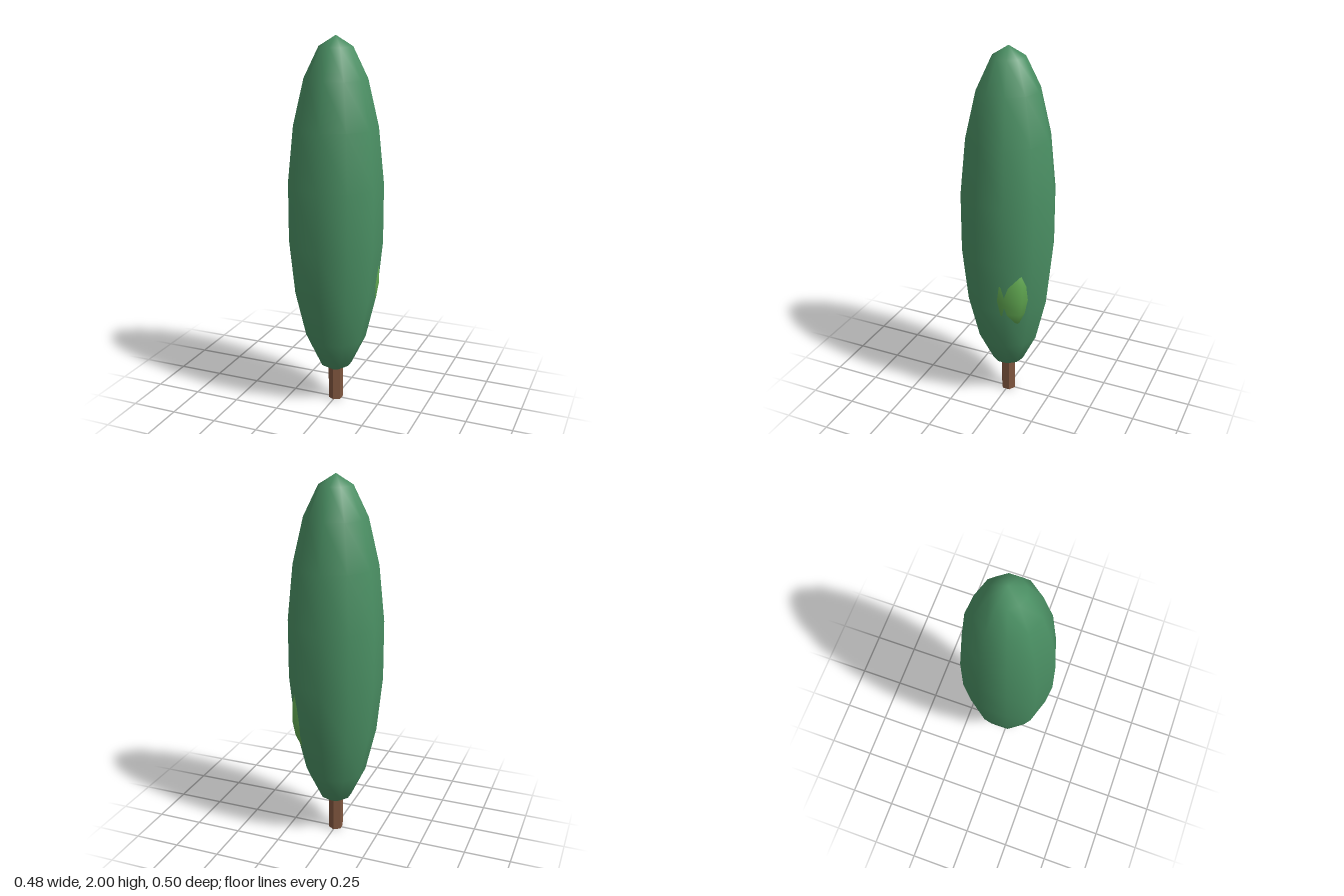
import * as THREE from 'three';

const leafGreen = new THREE.MeshStandardMaterial({ name: 'leaf green', color: 0x4a8f63 });
const freshGreen = new THREE.MeshStandardMaterial({ name: 'fresh green', color: 0x62aa52 });
const barkBrown = new THREE.MeshStandardMaterial({ name: 'bark brown', color: 0x80563f });
barkBrown.flatShading = true;

// Low-poly ellipsoid with smooth normals
function leafMass(name, material, sides, radius, halfHeight, turn, position) {
  const geometry = new THREE.SphereGeometry(1, sides, 9);
  geometry.rotateY(turn);
  geometry.scale(radius, halfHeight, radius);
  const mesh = new THREE.Mesh(geometry, material);
  mesh.name = name;
  mesh.position.set(...position);
  return mesh;
}

export function createModel() {
  const tree = new THREE.Group();
  tree.name = 'columnarTree';

  // Six-sided trunk, running up into the foliage
  const trunk = new THREE.Mesh(new THREE.CylinderGeometry(0.04, 0.04, 0.4, 6), barkBrown);
  trunk.name = 'trunk';
  trunk.position.y = 0.2;
  tree.add(trunk);

  // Tall crown, with a corner column facing front and back
  tree.add(leafMass('crown', leafGreen, 10, 0.256, 0.92, Math.PI / 2, [0, 1.08, 0]));

  // Lighter tuft that barely breaks through the crown
  tree.add(leafMass('lightTuft', freshGreen, 7, 0.14, 0.254, 0.367, [0.092, 0.741, -0.061]));

  return tree;
}
